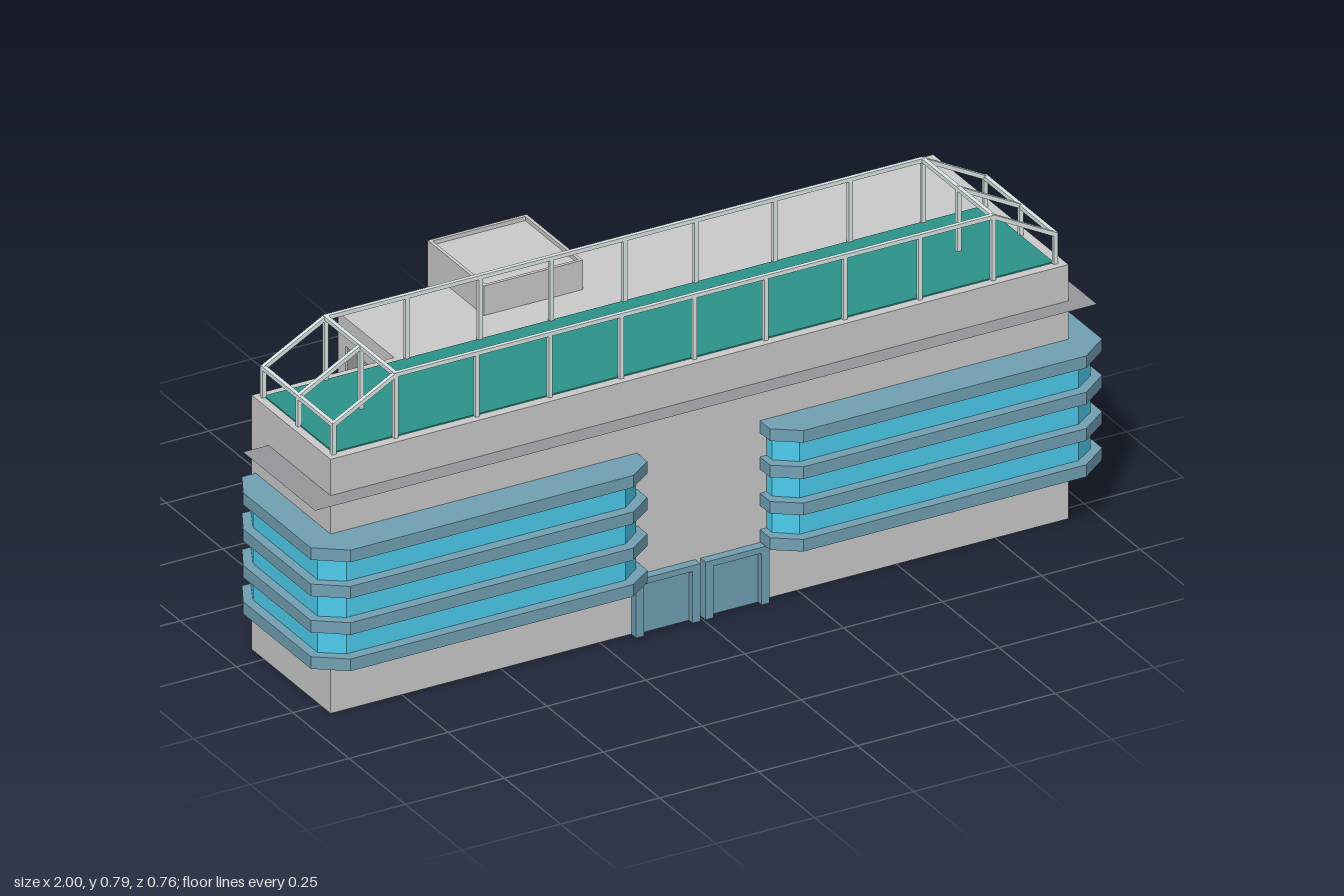
import * as THREE from 'three';

const mat = (color, side = THREE.FrontSide) => new THREE.MeshStandardMaterial({ color, side, flatShading: true });
const grey = mat(0xcccccc);
const canopyGrey = mat(0x96989c, THREE.DoubleSide);
const pane = mat(0x9b9b9b);
const trim = mat(0x72a1b5);
const glass = mat(0x4ecdee);
const turf = mat(0x2c948b);
const railMat = mat(0xdde8e8);

const TOP = 0.63;
const FLOORS = [0.07, 0.21, 0.35, 0.49]; // bottoms of the window rows
const WIN_H = 0.07;
const DEPTH = 0.012; // window recess

function add(parent, name, geometry, material) {
  const mesh = new THREE.Mesh(geometry, material);
  mesh.name = name;
  parent.add(mesh);
  return mesh;
}

// Box given by its extents
function box(parent, name, x0, x1, y0, y1, z0, z1, material = grey) {
  const mesh = add(parent, name, new THREE.BoxGeometry(x1 - x0, y1 - y0, z1 - z0), material);
  mesh.position.set((x0 + x1) / 2, (y0 + y1) / 2, (z0 + z1) / 2);
  return mesh;
}

const rectPoints = (x0, x1, y0, y1) =>
  [[x0, y0], [x1, y0], [x1, y1], [x0, y1]].map(([x, y]) => new THREE.Vector2(x, y));

// Wall panel with four rows of recessed windows
function windowWall(parent, name, u0, u1, spans) {
  const wall = new THREE.Group();
  wall.name = name;
  const shape = new THREE.Shape(rectPoints(u0, u1, 0, TOP));
  for (const y of FLOORS) for (const [a, b] of spans) {
    shape.holes.push(new THREE.Path(rectPoints(a, b, y, y + WIN_H)));
    box(wall, 'windowPane', a, b, y, y + WIN_H, 0.007 - 0.003, 0.007 + 0.001, pane);
  }
  add(wall, 'wallPanel', new THREE.ExtrudeGeometry(shape, { depth: DEPTH, bevelEnabled: false }), grey);
  parent.add(wall);
  return wall;
}

// Plan outline (x, z) raised from y0 to y1
function slab(parent, name, plan, y0, y1, material) {
  const shape = new THREE.Shape(plan.map(([x, z]) => new THREE.Vector2(x, -z)));
  const geo = new THREE.ExtrudeGeometry(shape, { depth: y1 - y0, bevelEnabled: false });
  geo.rotateX(-Math.PI / 2);
  add(parent, name, geo, material).position.y = y0;
}

// Square bar between two points
function bar(parent, name, a, b, t = 0.01) {
  const from = new THREE.Vector3(...a), to = new THREE.Vector3(...b);
  const mesh = add(parent, name, new THREE.BoxGeometry(t, t, from.distanceTo(to) + t * 0.5), railMat);
  mesh.position.copy(from).add(to).multiplyScalar(0.5);
  mesh.lookAt(to);
}

function buildBlocks(root) {
  box(root, 'frontBlock', -0.93, 0.935, 0, TOP, -0.043, 0.295);
  box(root, 'rearBlock', -0.57 + DEPTH, 0.935 - DEPTH, 0, TOP, -0.305 + DEPTH, -0.04);

  const back = windowWall(root, 'backWall', -0.57, 0.935,
    [[-0.545, -0.29], [-0.07, 0.17], [0.2, 0.54], [0.565, 0.905]]);
  back.position.z = -0.305;
  const wing = windowWall(root, 'wingBackWall', -0.93, -0.57, [[-0.9, -0.6]]);
  wing.position.z = -0.055;
  for (const x of [0.935, -0.57 + DEPTH]) {
    const side = windowWall(root, 'sideWall', -0.305 + DEPTH, -0.043, [[-0.27, -0.067]]);
    side.rotation.y = -Math.PI / 2;
    side.position.x = x;
  }
}

function buildTower(root) {
  const tower = new THREE.Group();
  tower.name = 'stairTower';
  const [x0, x1, z0, z1] = [-0.3, -0.05, -0.38, -0.13];
  box(tower, 'towerWindowCore', x0 + DEPTH, x1 - DEPTH, 0.01, 0.6, z0 + DEPTH, z1 - DEPTH, pane);
  [0, 0.14, 0.28, 0.42].forEach(y => box(tower, 'towerBand', x0, x1, y, y + 0.07, z0, z1));
  box(tower, 'towerTop', x0, x1, 0.56, 0.693, z0, z1);
  // Low parapet around the tower roof
  const t = 0.008;
  for (const [a, b] of [[x0, x0 + t], [x1 - t, x1]]) box(tower, 'parapet', a, b, 0.693, 0.703, z0, z1);
  for (const [a, b] of [[z0, z0 + t], [z1 - t, z1]]) box(tower, 'parapet', x0 + t, x1 - t, 0.693, 0.703, a, b);
  root.add(tower);
}

function buildBays(root) {
  // Corner bay outlines for the +x side
  const bandPlan = [[0.155, 0.28], [0.155, 0.34], [0.215, 0.383], [0.93, 0.383], [1, 0.33],
    [1, 0.03], [0.965, -0.037], [0.92, -0.037], [0.92, 0.28]];
  const glassPlan = [[0.172, 0.28], [0.172, 0.32], [0.22, 0.357], [0.925, 0.357], [0.977, 0.32],
    [0.977, 0.033], [0.95, -0.022], [0.92, -0.022], [0.92, 0.28]];
  for (const s of [1, -1]) {
    const bay = new THREE.Group();
    bay.name = s > 0 ? 'leftBay' : 'rightBay';
    const flip = plan => plan.map(([x, z]) => [s * x, z]);
    slab(bay, 'bayGlass', flip(glassPlan), 0.15, 0.44, glass);
    for (const y of [0.145, 0.235, 0.325, 0.415]) slab(bay, 'bayBand', flip(bandPlan), y, y + 0.03, trim);
    root.add(bay);
  }
}

function buildCanopy(root) {
  // Thin sheet wrapping the front and both ends
  const plan = [[-0.995, 0.02], [-0.995, 0.34], [0.982, 0.34], [0.982, 0.02],
    [0.935, 0.02], [0.935, 0.295], [-0.93, 0.295], [-0.93, 0.02]];
  const geo = new THREE.ShapeGeometry(new THREE.Shape(plan.map(([x, z]) => new THREE.Vector2(x, -z))));
  add(root, 'canopy', geo.rotateX(-Math.PI / 2), canopyGrey).position.y = 0.54;
}

function buildDoors(root) {
  for (const [x0, x1] of [[-0.17, -0.008], [0.005, 0.167]]) {
    const door = new THREE.Group();
    door.name = 'entranceDoor';
    box(door, 'doorJamb', x0, x0 + 0.02, 0, 0.143, 0.28, 0.317, trim);
    box(door, 'doorJamb', x1 - 0.02, x1, 0, 0.143, 0.28, 0.317, trim);
    box(door, 'doorLintel', x0 + 0.02, x1 - 0.02, 0.128, 0.143, 0.28, 0.317, trim);
    box(door, 'doorLeaf', x0 + 0.02, x1 - 0.02, 0, 0.128, 0.28, 0.301, trim);
    root.add(door);
  }
}

function buildRoofCourt(root) {
  box(root, 'courtFloor', -0.91, 0.91, TOP - 0.005, TOP + 0.003, -0.035, 0.272, turf);
  const cage = new THREE.Group();
  cage.name = 'courtCage';
  const [zBack, zMid, zFront] = [-0.035, 0.122, 0.275];
  const HIGH = 0.787, LOW = 0.703;
  // Long sides
  for (const z of [zBack, zFront]) {
    for (const x of [-0.55, -0.365, -0.185, 0, 0.18, 0.38, 0.57]) bar(cage, 'post', [x, TOP, z], [x, HIGH, z]);
    bar(cage, 'topRail', [-0.755, HIGH, z], [0.755, HIGH, z]);
  }
  // Sloping ends
  for (const s of [-1, 1]) {
    const xi = s * 0.755, xo = s * 0.912;
    for (const z of [zBack, zMid, zFront]) {
      bar(cage, 'post', [xi, TOP, z], [xi, HIGH, z]);
      bar(cage, 'endPost', [xo, TOP, z], [xo, LOW, z]);
      bar(cage, 'slopingRail', [xi, HIGH, z], [xo, LOW, z]);
    }
    bar(cage, 'crossRail', [xi, HIGH, zBack], [xi, HIGH, zFront]);
    bar(cage, 'endRail', [xo, LOW, zBack], [xo, LOW, zFront]);
  }
  root.add(cage);
}

export function createModel() {
  const root = new THREE.Group();
  root.name = 'building';
  buildBlocks(root);
  buildTower(root);
  buildBays(root);
  buildCanopy(root);
  buildDoors(root);
  buildRoofCourt(root);
  return root;
}
